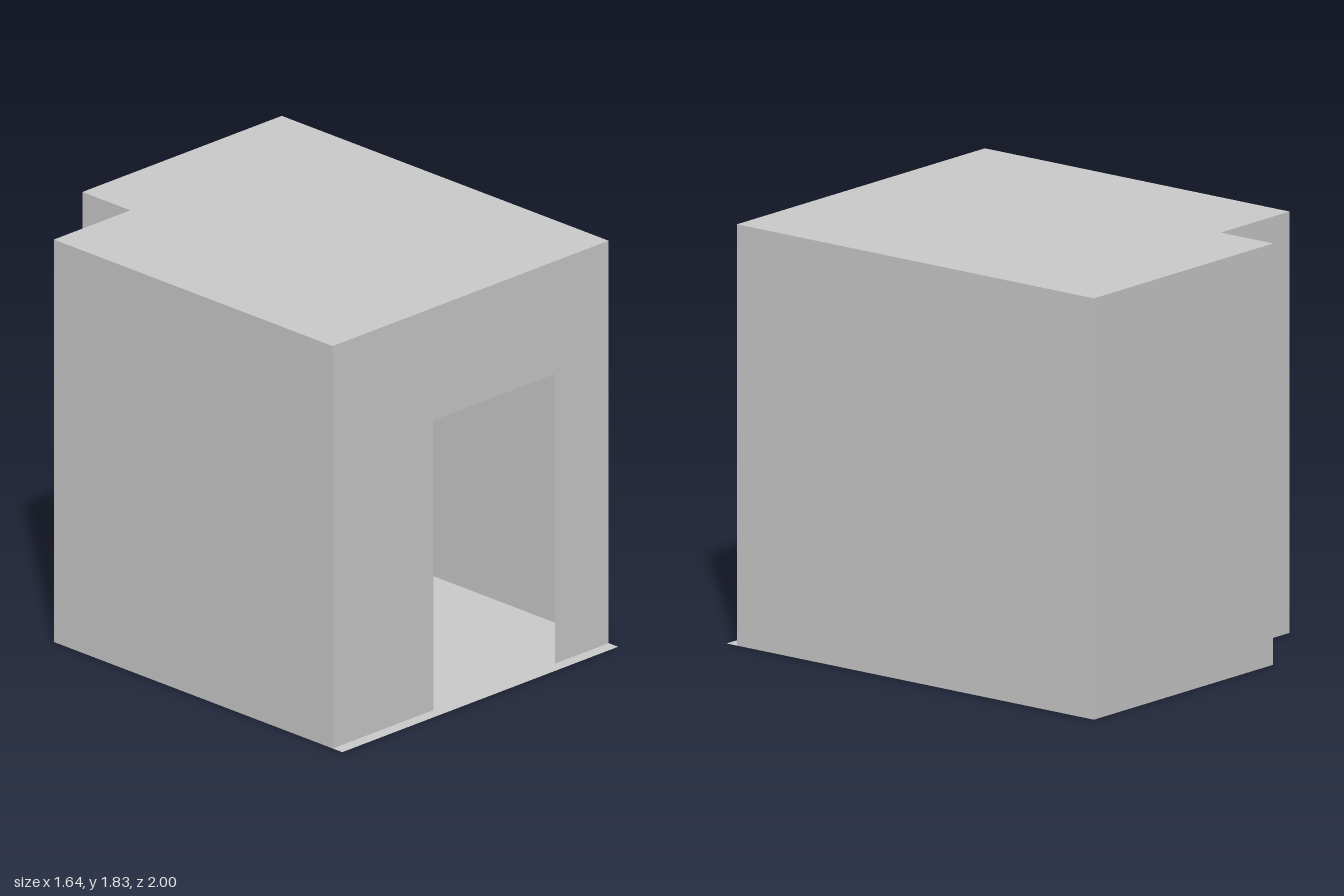
import * as THREE from 'three';

const W = 0.82, H = 1.83;             // half width, wall height
const FRONT = 0.943, BACK = -1;       // front and back wall z
const NOTCH_X = -0.365, NOTCH_Z = -0.715;
const SILL = 1;                       // floor reaches past the front wall
const DOOR = { x0: -0.22, x1: 0.5, top: 1.317 };

const material = new THREE.MeshStandardMaterial({
  color: 0xcccccc, flatShading: true, side: THREE.DoubleSide,
});

const toShape = (pts) => new THREE.Shape(pts.map(([x, y]) => new THREE.Vector2(x, y)));

// Footprint with the rear corner cut away, as [x, z], ending at the given front z
const footprint = (front) => [
  [-W, front], [W, front], [W, BACK], [NOTCH_X, BACK], [NOTCH_X, NOTCH_Z], [-W, NOTCH_Z],
];

export function createModel() {
  const group = new THREE.Group();
  const add = (name, geometry) => {
    const mesh = new THREE.Mesh(geometry, material);
    mesh.name = name;
    group.add(mesh);
    return mesh;
  };

  // Thin horizontal slabs
  const slab = (name, front, y) => {
    const geo = new THREE.ShapeGeometry(toShape(footprint(front).map(([x, z]) => [x, -z])));
    add(name, geo.rotateX(-Math.PI / 2)).position.y = y;
  };
  slab('floor', SILL, 0);
  slab('roof', FRONT, H);

  // Front wall around the doorway
  const { x0, x1, top } = DOOR;
  add('frontWall', new THREE.ShapeGeometry(toShape([
    [-W, 0], [x0, 0], [x0, top], [x1, top], [x1, 0], [W, 0], [W, H], [-W, H],
  ]))).position.z = FRONT;

  // Remaining walls, one per footprint edge
  const pts = footprint(FRONT);
  const names = ['leftWall', 'backWall', 'notchSideWall', 'notchBackWall', 'rightWall'];
  names.forEach((name, i) => {
    const [ax, az] = pts[i + 1], [bx, bz] = pts[(i + 2) % pts.length];
    const wall = add(name, new THREE.PlaneGeometry(Math.hypot(bx - ax, bz - az), H));
    wall.position.set((ax + bx) / 2, H / 2, (az + bz) / 2);
    wall.rotation.y = Math.atan2(az - bz, bx - ax);
  });

  return group;
}
